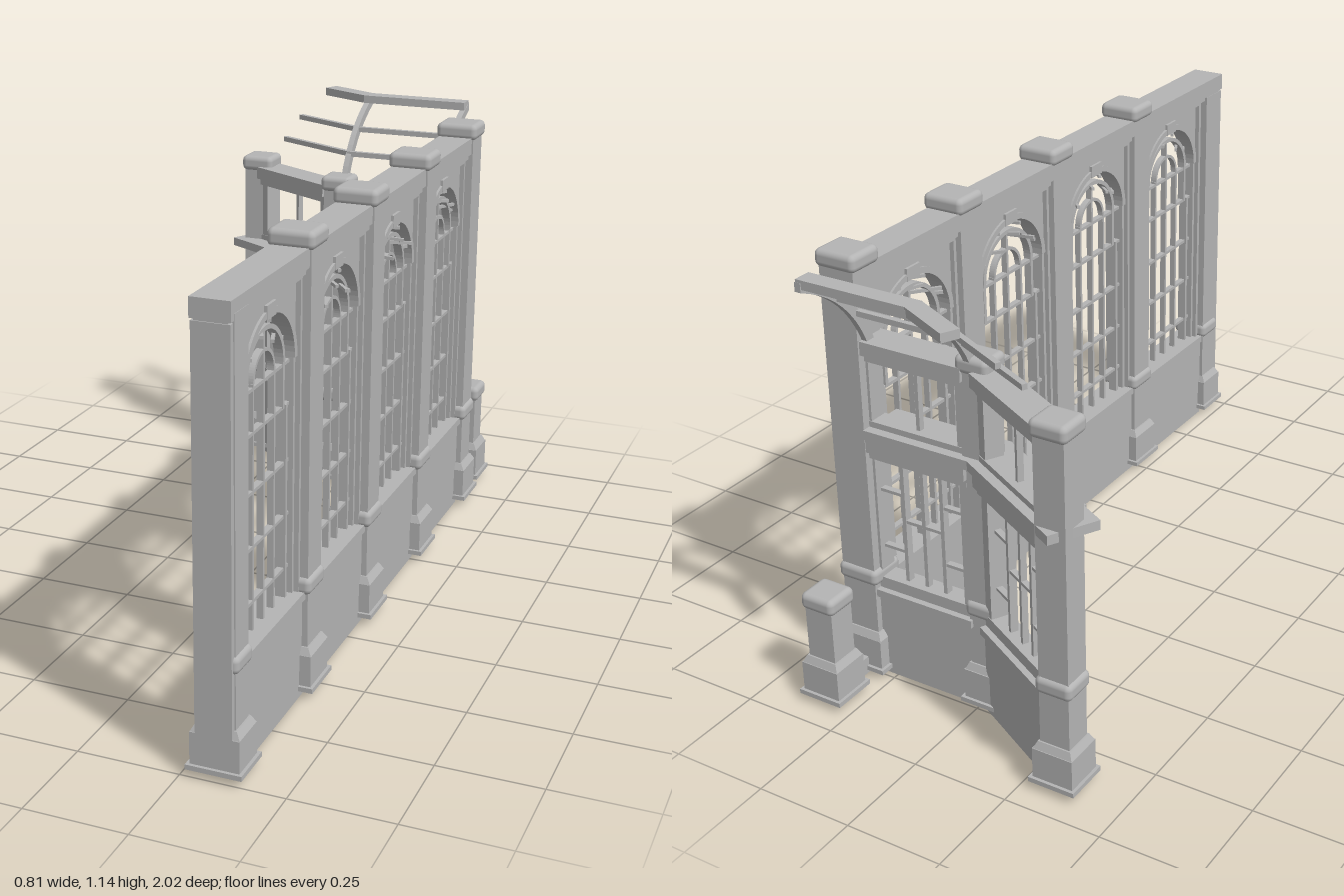
import * as THREE from 'three';
import { RoundedBoxGeometry } from 'three/addons/geometries/RoundedBoxGeometry.js';

const stone = new THREE.MeshStandardMaterial({ color: 0xb4b4b4 });
stone.name = 'paleGrey';

function add(parent, name, geometry, x = 0, y = 0, z = 0) {
  const mesh = new THREE.Mesh(geometry, stone);
  mesh.name = name;
  mesh.position.set(x, y, z);
  parent.add(mesh);
  return mesh;
}

// Box given by its extents
function box(parent, name, x0, x1, y0, y1, z0, z1) {
  return add(parent, name, new THREE.BoxGeometry(x1 - x0, y1 - y0, z1 - z0),
    (x0 + x1) / 2, (y0 + y1) / 2, (z0 + z1) / 2);
}

function group(parent, name, x, y, z, ry = 0) {
  const g = new THREE.Group();
  g.name = name;
  g.position.set(x, y, z);
  g.rotation.y = ry;
  parent.add(g);
  return g;
}

// Straight square bar between two points
function beam(parent, name, a, b, w, h) {
  const from = new THREE.Vector3(...a), to = new THREE.Vector3(...b);
  const mesh = add(parent, name, new THREE.BoxGeometry(w, h, from.distanceTo(to)));
  mesh.position.copy(from).lerp(to, 0.5);
  mesh.lookAt(to);
  return mesh;
}

// Post with stepped base, waist band and pillow cap
function post(parent, name, x, z, w, d, height, cap = true, ry = 0) {
  const g = group(parent, name, x, 0, z, ry);
  const slab = (part, grow, y0, y1) =>
    box(g, part, -w / 2 - grow, w / 2 + grow, y0, y1, -d / 2 - grow, d / 2 + grow);
  slab('shaft', 0, 0.03, height - (cap ? 0.02 : 0));
  slab('baseFoot', 0.022, 0.02, 0.032);
  slab('baseBlock', 0.014, 0.032, 0.11);
  const step = new THREE.CylinderGeometry(Math.SQRT1_2, Math.SQRT1_2 * 1.2, 0.018, 4, 1);
  step.rotateY(Math.PI / 4);
  const flare = add(g, 'baseMoulding', step.toNonIndexed(), 0, 0.119, 0);
  flare.geometry.computeVertexNormals();
  flare.scale.set(w + 0.008, 1, d + 0.008);
  const pillow = (part, y) =>
    add(g, part, new RoundedBoxGeometry(w + 0.018, 0.044, d + 0.018, 3, 0.015), 0, y, 0);
  if (height > 0.4) pillow('waistBand', 0.283);
  if (cap) pillow('cap', height - 0.022);
  return g;
}

// Half ring standing in the local xy plane
function halfRing(parent, name, r0, r1, y, depth) {
  const s = new THREE.Shape();
  s.absarc(0, 0, r1, 0, Math.PI, false);
  s.absarc(0, 0, r0, Math.PI, 0, true);
  const geo = new THREE.ExtrudeGeometry(s, { depth, bevelEnabled: false, curveSegments: 16 });
  return add(parent, name, geo, 0, y, -depth / 2);
}

// Arched window bay of the long wall, local x runs along the wall
function archBay(parent, z) {
  const g = group(parent, 'archedWindow', 0.33, 0, z, Math.PI / 2);
  const spring = 0.845, R = 0.145;
  box(g, 'lowerPanel', -0.175, 0.175, 0, 0.25, -0.036, 0.036);
  box(g, 'sill', -0.17, 0.17, 0.25, 0.27, -0.044, 0.044);

  const s = new THREE.Shape();
  s.moveTo(-0.17, 0.265).lineTo(0.17, 0.265).lineTo(0.17, 1.04).lineTo(-0.17, 1.04).closePath();
  const hole = new THREE.Path();
  hole.moveTo(-R, 0.27).lineTo(-R, spring);
  hole.absarc(0, spring, R, Math.PI, 0, true);
  hole.lineTo(R, 0.27).closePath();
  s.holes.push(hole);
  add(g, 'archPanel', new THREE.ExtrudeGeometry(s, { depth: 0.036, bevelEnabled: false, curveSegments: 16 }), 0, 0, -0.018);

  // Raised rectangular surround, arch moulding and keystone
  for (const k of [-1, 1]) {
    box(g, 'surround', k * 0.161 - 0.006, k * 0.161 + 0.006, 0.27, 1.03, -0.03, 0.03);
    box(g, 'jambBar', k * 0.122 - 0.005, k * 0.122 + 0.005, 0.27, 0.74, -0.012, 0.012);
    box(g, 'ringBar', k * 0.108 - 0.005, k * 0.108 + 0.005, 0.735, spring, -0.01, 0.01);
  }
  box(g, 'surroundTop', -0.167, 0.167, 1.02, 1.04, -0.03, 0.03);
  halfRing(g, 'archMoulding', 0.138, 0.153, spring, 0.048);
  halfRing(g, 'innerArch', 0.102, 0.113, spring, 0.022);
  halfRing(g, 'smallArch', 0.054, 0.062, spring, 0.016);
  box(g, 'keystone', -0.026, 0.026, 0.978, 1.01, -0.025, 0.025);

  // Glazing bars
  for (const x of [-0.06, 0, 0.06])
    box(g, 'mullion', x - 0.004, x + 0.004, 0.27, x === 0 ? 0.955 : spring, -0.008, 0.008);
  for (const y of [0.34, 0.47, 0.6, 0.735, 0.835])
    box(g, 'glazingBar', -R, R, y - 0.004, y + 0.004, -0.008, 0.008);
  for (let i = 1; i < 8; i++) {
    const a = (i * Math.PI) / 8, inner = i % 2 ? 0.108 : 0.058;
    const at = (r) => [Math.cos(a) * r, spring + Math.sin(a) * r, 0];
    beam(g, 'radialBar', at(inner), at(0.142), 0.008, 0.008);
  }
}

// Two-storey bay of the porch, x0 and x1 are the ends of the cornice
function porchBay(parent, x, z, ry, x0, x1) {
  const g = group(parent, 'porchBay', x, 0, z, ry);
  const h = 0.15;
  box(g, 'lowerPanel', -h, h, 0.005, 0.23, -0.03, 0.03);
  box(g, 'sill', -h, h, 0.23, 0.25, -0.042, 0.042);
  box(g, 'sillStep', -h, h, 0.25, 0.28, -0.026, 0.026);
  box(g, 'lintel', -h, h, 0.61, 0.665, -0.034, 0.034);
  box(g, 'lintelLip', -h, h, 0.63, 0.665, -0.045, 0.045);
  box(g, 'cornice', x0, x1, 0.666, 0.69, -0.05, 0.08);
  box(g, 'upperRail', -h, h, 0.69, 0.705, -0.026, 0.026);
  box(g, 'topBeam', -h, h, 0.86, 0.9, -0.028, 0.028);
  box(g, 'topMoulding', -h, h, 0.88, 0.915, -0.042, 0.042);
  for (const k of [-1, 1]) {
    box(g, 'frameSide', k * 0.136 - 0.014, k * 0.136 + 0.014, 0.25, 0.88, -0.024, 0.024);
    box(g, 'mullion', k * 0.056 - 0.005, k * 0.056 + 0.005, 0.28, 0.61, -0.01, 0.01);
    for (const y of [0.36, 0.515]) {
      const c = k * 0.091;
      box(g, 'sideGlazingBar', c - 0.035, c + 0.035, y - 0.004, y + 0.004, -0.008, 0.008);
    }
  }
  box(g, 'middleGlazingBar', -0.056, 0.056, 0.441, 0.449, -0.008, 0.008);
  box(g, 'centreMullion', -0.005, 0.005, 0.28, 0.61, -0.008, 0.008);
  box(g, 'upperMullion', -0.005, 0.005, 0.7, 0.865, -0.008, 0.008);
}

// Curved rib of the porch roof, drawn in z and y
function roofRib(parent, x) {
  const s = new THREE.Shape();
  s.moveTo(0.71, 0.9).quadraticCurveTo(0.765, 1.07, 0.95, 1.135);
  s.lineTo(0.95, 1.112).quadraticCurveTo(0.79, 1.05, 0.735, 0.9).closePath();
  const geo = new THREE.ExtrudeGeometry(s, { depth: 0.016, bevelEnabled: false, curveSegments: 10 });
  geo.rotateY(Math.PI / 2);
  add(parent, 'roofRib', geo, x - 0.008, 0, 0);
}

export function createModel() {
  const model = new THREE.Group();
  model.name = 'conservatoryWalls';

  // Long wall
  const wall = group(model, 'longWall', 0, 0, 0);
  const pitch = 0.414, first = -0.715;
  for (let i = 0; i < 4; i++) {
    post(wall, 'wallPost', 0.332, first + i * pitch, 0.096, 0.084, 1.127);
    archBay(wall, first + (i + 0.5) * pitch);
  }
  post(wall, 'endPost', 0.332, 0.949, 0.09, 0.07, 1.06, false);
  box(wall, 'endPostFace', 0.286, 0.374, 0.03, 1.04, 0.91, 0.998);
  box(wall, 'topBeam', 0.292, 0.368, 1.03, 1.05, -0.72, 0.995);
  box(wall, 'topCoping', 0.284, 0.376, 1.045, 1.09, -0.72, 1);

  // Porch
  const porch = group(model, 'porch', 0, 0, 0);
  post(porch, 'middlePost', -0.022, -0.71, 0.072, 0.066, 0.945);
  post(porch, 'outerPost', -0.334, -0.88, 0.078, 0.074, 0.945);
  post(porch, 'shortPost', 0.33, -0.88, 0.078, 0.074, 0.305);
  box(porch, 'threshold', 0.31, 0.345, 0.01, 0.055, -0.86, -0.73);
  porchBay(porch, 0.155, -0.71, 0, -0.2, 0.13);
  porchBay(porch, -0.178, -0.795, -0.5, -0.215, 0.2);

  // Porch roof frame
  const roof = group(model, 'porchRoofFrame', 0, 0, 0);
  roofRib(roof, 0.277);
  roofRib(roof, -0.014);
  const rows = [
    ['lowerPurlin', 0.996, -0.765, -0.262, 0.014, 0.014],
    ['upperPurlin', 1.056, -0.828, -0.23, 0.014, 0.014],
    ['ridgeBoard', 1.13, -0.925, -0.158, 0.045, 0.022],
  ];
  for (const [name, y, z, end, w, h] of rows) {
    beam(roof, name, [0.284, y, z], [-0.02, y, z], w, h);
    beam(roof, name, [-0.012, y, z], [end, y, z + (end + 0.014) * 0.5], w, h);
  }
  return model;
}
